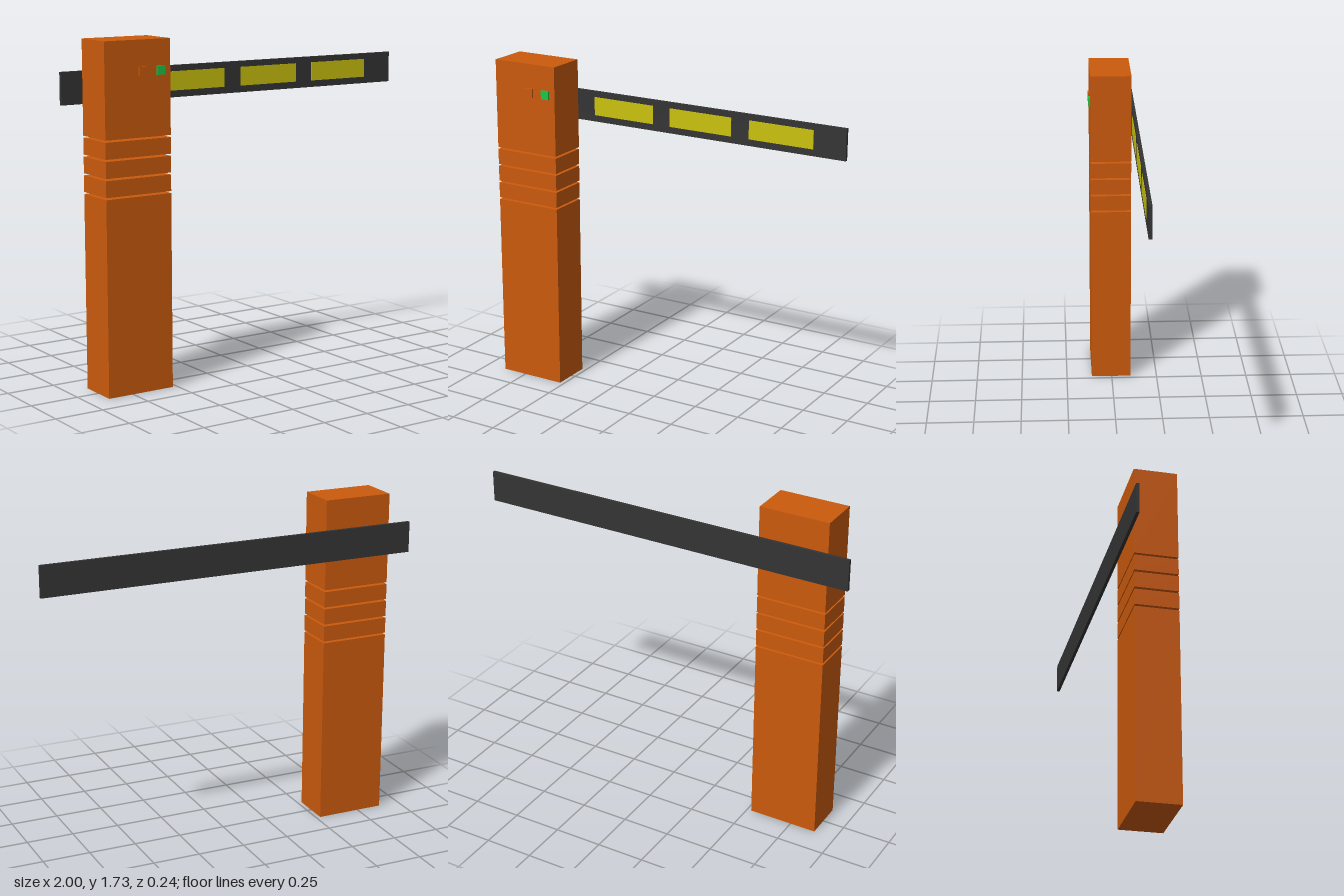
import * as THREE from 'three';

function material(name, color) {
  const m = new THREE.MeshStandardMaterial({ color });
  m.name = name;
  return m;
}

export function createModel() {
  const group = new THREE.Group();
  const orange = material('orange', 0xca5a0d);
  const charcoal = material('charcoal', 0x343434);
  const yellow = material('yellow', 0xcac20d);
  const green = material('green', 0x1dc447);

  // Box given by its minimum and maximum corners
  function box(name, mat, [x0, y0, z0], [x1, y1, z1]) {
    const mesh = new THREE.Mesh(new THREE.BoxGeometry(x1 - x0, y1 - y0, z1 - z0), mat);
    mesh.position.set((x0 + x1) / 2, (y0 + y1) / 2, (z0 + z1) / 2);
    mesh.name = name;
    group.add(mesh);
  }

  const left = -0.885, right = -0.523, back = -0.105, front = 0.111;
  const slab = (name, y0, y1) => box(name, orange, [left, y0, back], [right, y1, front]);

  // Post: base, three bands with open slits between them, and head
  slab('postBase', 0, 0.977);
  for (let i = 0; i < 3; i++) {
    const y = 0.987 + i * 0.0917;
    slab('postBand', y, y + 0.0815);
  }
  slab('postHead', 1.262, 1.73);

  // Indicator buttons on the head
  box('orangeButton', orange, [-0.7, 1.558, front], [-0.655, 1.603, 0.121]);
  box('greenButton', green, [-0.6, 1.558, front], [-0.555, 1.603, 0.121]);

  // Barrier arm behind the post, with reflective panels on its front
  box('barrierArm', charcoal, [-1, 1.415, -0.121], [1, 1.575, back]);
  for (let i = 0; i < 3; i++) {
    const x = -0.42 + i * 0.449;
    box('armPanel', yellow, [x, 1.449, back], [x + 0.35, 1.545, back + 0.002]);
  }
  return group;
}
